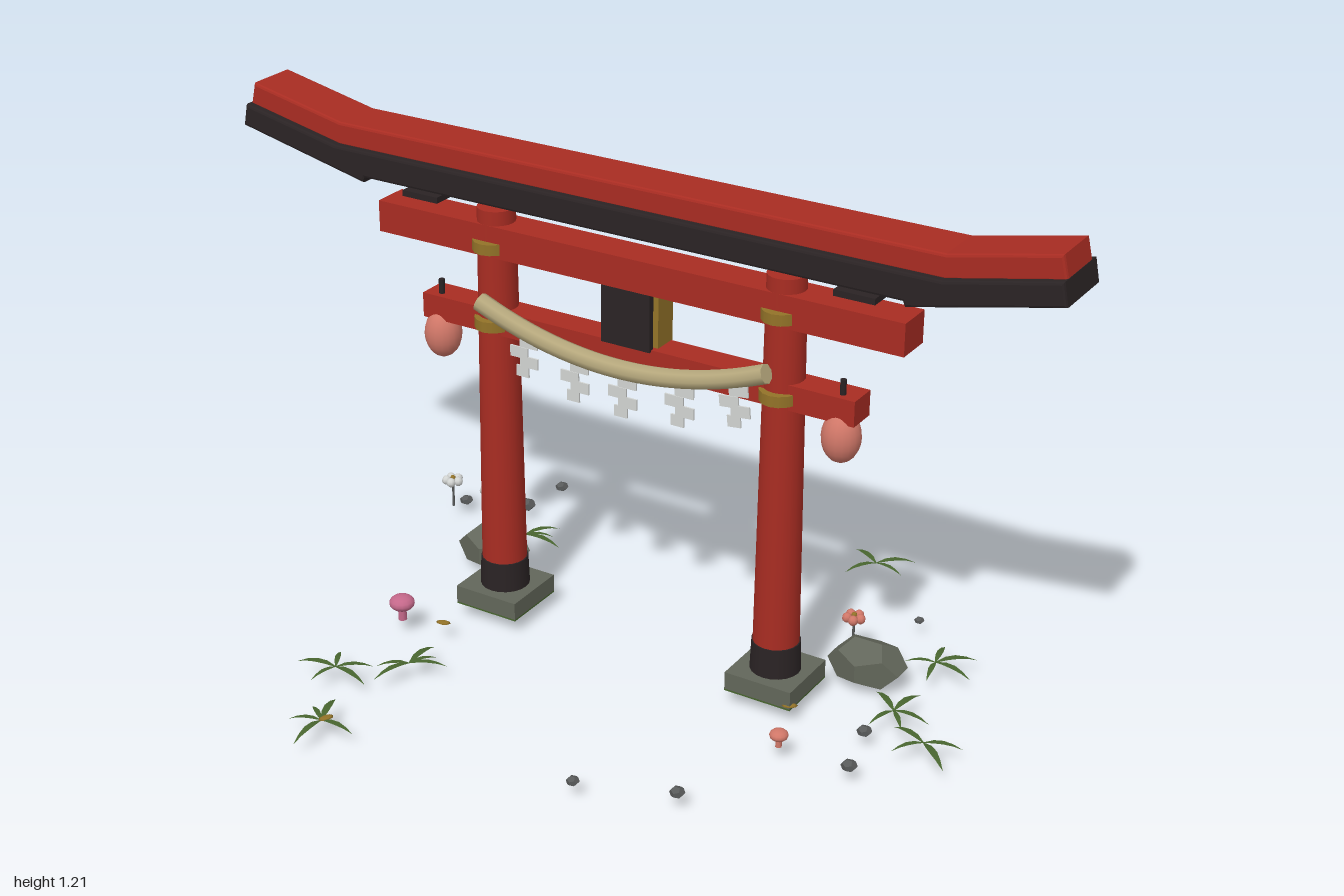
import * as THREE from 'three';

const mat = (name, color, side = THREE.FrontSide) => {
  const m = new THREE.MeshStandardMaterial({ color, side });
  m.name = name;
  return m;
};

export function createModel() {
  const root = new THREE.Group();
  const red = mat('vermilion', 0xa82c22);
  const black = mat('black lacquer', 0x2a2324);
  const stone = mat('stone', 0x62665a);
  const green = mat('leaf green', 0x48652f, THREE.DoubleSide);
  const gold = mat('gold', 0x937328);
  const straw = mat('straw', 0xb5a77c);
  const white = mat('white', 0xd2d4d2);
  const salmon = mat('salmon', 0xd07768);
  const pink = mat('pink', 0xc4688a);
  const grey = mat('pebble grey', 0x585a5a);
  const ZC = -0.05; // depth of the gate's centre plane

  const add = (name, geo, material, x, y, z, parent = root) => {
    const m = new THREE.Mesh(geo, material);
    m.name = name;
    m.position.set(x, y, z);
    parent.add(m);
    return m;
  };
  const box = (name, material, w, h, d, x, y, z, parent) =>
    add(name, new THREE.BoxGeometry(w, h, d), material, x, y, z, parent);
  const cyl = (name, material, rt, rb, h, x, y, z, parent, n = 16) =>
    add(name, new THREE.CylinderGeometry(rt, rb, h, n), material, x, y, z, parent);

  // Curved-up roof beams, mirrored from half profiles
  const roofBeam = (name, material, half, depth) => {
    const b = 0.006;
    const pts = [...half, ...half.map(([x, y]) => [-x, y]).reverse()];
    const shape = new THREE.Shape(pts.map(([x, y]) => new THREE.Vector2(x, y)));
    const geo = new THREE.ExtrudeGeometry(shape, {
      depth: depth - 2 * b, bevelThickness: b, bevelSize: b, bevelOffset: -b, bevelSegments: 2,
    });
    add(name, geo, material, 0, 0, ZC - depth / 2 + b);
  };
  roofBeam('lowerRoofBeam', black,
    [[0.66, 1.05], [0.665, 1.038], [1.0, 1.112], [0.99, 1.163], [0.74, 1.111]], 0.162);
  roofBeam('upperRoofBeam', red,
    [[0.74, 1.106], [0.99, 1.158], [0.978, 1.21], [0.738, 1.16]], 0.124);

  // Cross beams
  box('upperCrossBeam', red, 1.305, 0.073, 0.086, 0, 0.951, ZC);
  box('lowerCrossBeam', red, 1.09, 0.058, 0.07, 0, 0.757, ZC);

  // Central plaque
  box('plaqueFrame', gold, 0.132, 0.14, 0.06, 0, 0.85, ZC - 0.01);
  box('plaqueFace', black, 0.122, 0.136, 0.015, -0.003, 0.85, ZC + 0.035);

  // Pillars with their fittings, and lanterns
  for (const s of [-1, 1]) {
    const x = s * 0.362;
    cyl('pillar', red, 0.043, 0.053, 0.94, x, 0.55, ZC, root, 20);
    cyl('pillarSleeve', black, 0.055, 0.058, 0.08, x, 0.112, ZC, root, 20);
    box('pillarBase', stone, 0.164, 0.042, 0.164, x, 0.06, ZC);
    box('baseMoss', green, 0.164, 0.004, 0.164, x, 0.037, ZC);
    for (const y of [0.937, 0.753])
      cyl('goldBand', gold, 0.05, 0.05, 0.025, x, y, ZC).scale.z = 1.28;
    box('beamPad', black, 0.094, 0.014, 0.088, s * 0.537, 1.019, ZC);
    const lantern = new THREE.Group();
    lantern.name = 'lantern';
    lantern.position.set(s * 0.507, 0, -0.036);
    root.add(lantern);
    add('lanternBody', new THREE.SphereGeometry(1, 18, 12), salmon, 0, 0.69, 0, lantern)
      .scale.set(0.043, 0.058, 0.043);
    cyl('lanternHook', black, 0.007, 0.007, 0.08, 0, 0.78, 0, lantern, 8);
  }

  // Sagging rope with closed ends
  const ropeY = (x) => 0.744 + 0.076 * (x / 0.36) ** 2;
  const ropePts = [];
  for (let i = -6; i <= 6; i++) ropePts.push(new THREE.Vector3(i * 0.06, ropeY(i * 0.06), 0.025));
  const curve = new THREE.CatmullRomCurve3(ropePts);
  add('rope', new THREE.TubeGeometry(curve, 32, 0.022, 8), straw, 0, 0, 0);
  for (const t of [0, 1]) {
    const p = curve.getPoint(t);
    const cap = add('ropeEnd', new THREE.CircleGeometry(0.022, 8), straw, p.x, p.y, p.z);
    cap.lookAt(p.clone().add(curve.getTangent(t).multiplyScalar(t ? 1 : -1)));
  }

  // Zigzag paper streamers
  [-0.24, -0.108, 0.014, 0.156, 0.285].forEach((x, i) => {
    const g = new THREE.Group();
    g.name = 'paperStreamer';
    g.position.set(x, ropeY(x) - 0.01, 0.03);
    g.rotation.z = i === 4 ? 0.1 : 0;
    root.add(g);
    [[0.012, -0.015], [-0.013, -0.042], [0.013, -0.062], [-0.004, -0.086]].forEach(([dx, dy], k) =>
      box('paperFold', white, k === 3 ? 0.032 : 0.046, 0.026, 0.004, dx, dy, 0, g));
  });

  // Rocks with mossy undersides
  const rockGeo = new THREE.DodecahedronGeometry(1);
  const n = rockGeo.attributes.normal;
  for (let i = 0; i < n.count; i += 3) rockGeo.addGroup(i, 3, n.getY(i) < -0.2 ? 1 : 0);
  const rock = (name, mats, w, h, d, x, y, z) =>
    add(name, rockGeo, mats, x, y, z).scale.set(w, h, d).divideScalar(0.934);
  for (const s of [-1, 1]) rock('rock', [stone, green], 0.088, 0.055, 0.065, s * 0.508, 0.055, -0.213);

  // Pebbles: x, z, radius
  [[-0.56, -0.59, 0.016], [-0.58, -0.46, 0.021], [-0.725, -0.4, 0.016], [-0.548, -0.38, 0.011],
    [0.515, -0.465, 0.011], [0.52, -0.31, 0.013], [0.398, 0.43, 0.016], [0.193, 0.51, 0.014],
    [0.653, 0.155, 0.017], [0.62, 0.02, 0.016]]
    .forEach(([x, z, r]) => rock('pebble', [grey, grey], r, r * 0.7, r, x, 0.039, z));

  // Mushrooms
  [[-0.508, 0.16, 0.03, 0.079, pink], [0.49, 0.165, 0.021, 0.064, salmon]].forEach(([x, z, r, y, m]) => {
    add('mushroomCap', new THREE.SphereGeometry(1, 14, 8), m, x, y, z).scale.set(r, r * 0.62, r);
    cyl('mushroomStem', m, r * 0.3, r * 0.35, y - 0.035, x, (y + 0.035) / 2, z, root, 8);
  });

  // Five-petalled flowers
  [[-0.738, 0.108, -0.363, white], [-0.587, 0.142, -0.315, white], [0.436, 0.113, -0.283, salmon]]
    .forEach(([x, y, z, m]) => {
      const g = new THREE.Group();
      g.name = 'flower';
      g.position.set(x, 0, z);
      root.add(g);
      cyl('flowerStem', grey, 0.003, 0.003, y - 0.035, 0, (y + 0.035) / 2, 0, g, 6);
      for (let k = 0; k < 5; k++) {
        const a = (k / 5) * Math.PI * 2;
        add('petal', new THREE.SphereGeometry(0.012, 8, 6), m, 0.016 * Math.cos(a), y, 0.016 * Math.sin(a), g);
      }
      add('flowerCentre', new THREE.SphereGeometry(0.007, 8, 6), gold, 0, y + 0.006, 0, g);
    });

  // Arched leaf blade along +x, one unit long
  const blade = new THREE.PlaneGeometry(1, 1, 4, 1).rotateX(-Math.PI / 2);
  const p = blade.attributes.position;
  const widths = [0.03, 0.15, 0.17, 0.1, 0];
  for (let i = 0; i < p.count; i++) {
    const u = p.getX(i) + 0.5;
    p.setXYZ(i, u, 0.45 * u * (0.8 - u), Math.sign(p.getZ(i)) * widths[Math.round(u * 4)] / 2);
  }
  blade.computeVertexNormals();

  // Leaf tufts: x, z, blade directions in degrees
  [[0.31, -0.65, [42, 235, 150, -10]],
    [-0.49, -0.32, [0, 175, 60, 230, 30]],
    [0.63, -0.31, [45, 100, -10, -80, 200]],
    [-0.37, 0.32, [90, 30, 250, 215, 60]],
    [-0.5, 0.42, [190, 40, -10, 120, 255]],
    [-0.39, 0.61, [110, 0, -90, 200, 145]],
    [0.75, 0.0, [-40, 20, 160, 230]],
    [0.64, -0.08, [80, 0, 140, 250, -50]]].forEach(([x, z, angles]) => {
    const g = new THREE.Group();
    g.name = 'leafTuft';
    g.position.set(x, 0.043, z);
    root.add(g);
    angles.forEach((deg, i) => {
      const leaf = add('leafBlade', blade, green, 0, 0, 0, g);
      leaf.rotation.y = THREE.MathUtils.degToRad(deg);
      leaf.scale.setScalar([0.1, 0.085, 0.095, 0.075, 0.07][i]);
    });
  });

  // Fallen leaves
  [[-0.408, 0.137, 0.2], [-0.385, 0.6, 1.2], [0.44, 0.025, 0.5]].forEach(([x, z, a]) => {
    const leaf = add('fallenLeaf', new THREE.SphereGeometry(1, 8, 4), gold, x, 0.045, z);
    leaf.scale.set(0.018, 0.003, 0.011);
    leaf.rotation.y = a;
  });

  return root;
}
